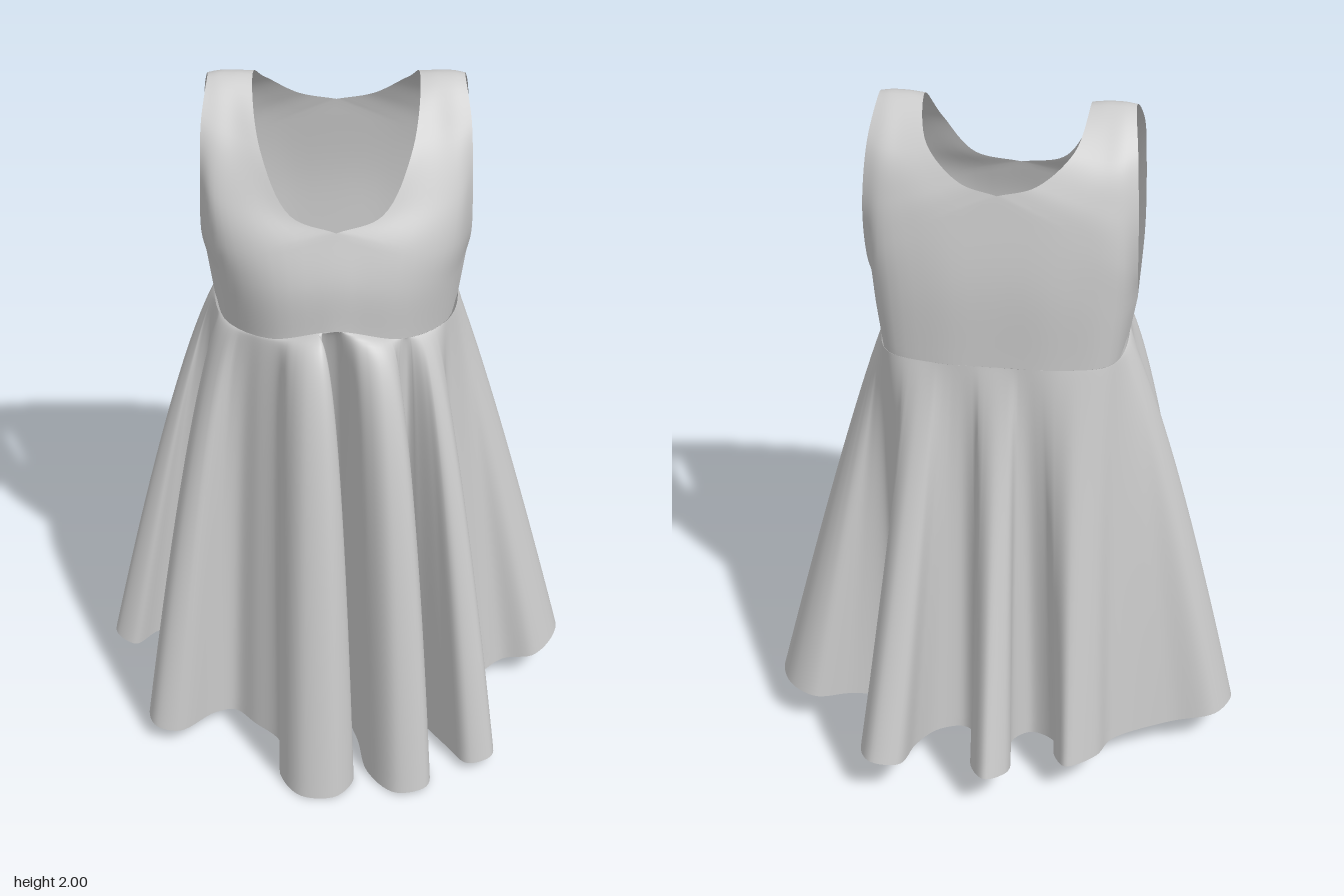
import * as THREE from 'three';

// Bodice guide lines for the +x half: each runs from the front waist over the shoulder to the back waist.
// The listed corners stay sharp.
const neckGuide = [[0, 1.41, .285], [0, 1.54, .28], [0, 1.68, .24], [.12, 1.715, .21], [.197, 1.86, .12], [.218, 1.995, -.04],
  [.19, 1.92, -.183], [.1, 1.845, -.24], [0, 1.82, -.255], [0, 1.58, -.285], [0, 1.33, -.285]];
const chestGuide = [[.17, 1.37, .255], [.18, 1.52, .262], [.2, 1.63, .24], [.24, 1.73, .182], [.26, 1.88, .09], [.26, 2, -.04],
  [.26, 1.9, -.188], [.23, 1.8, -.243], [.2, 1.72, -.264], [.17, 1.55, -.283], [.17, 1.33, -.28]];
const flankGuide = [[.29, 1.35, .14], [.295, 1.5, .175], [.31, 1.61, .18], [.32, 1.74, .15], [.31, 1.89, .08], [.305, 2, -.04],
  [.31, 1.9, -.18], [.315, 1.77, -.23], [.32, 1.64, -.245], [.315, 1.5, -.24], [.3, 1.33, -.235]];
const armGuide = [[.335, 1.33, -.05], [.355, 1.45, -.07], [.36, 1.6, .06], [.355, 1.77, .1], [.35, 1.91, .06], [.335, 1.995, -.04],
  [.35, 1.91, -.155], [.36, 1.75, -.2], [.36, 1.58, -.165], [.355, 1.45, -.07], [.335, 1.33, -.05]];
const guides = [neckGuide, chestGuide, flankGuide, armGuide];
const corners = [[2, 8], [], [], [1, 9]];

// Hem outline (x, z), running from the front towards +x and round the back
const hem = [
  // front folds
  [-.24, .25], [-.165, .32], [-.16, .46], [-.1, .54], [0, .54], [.05, .46], [-.03, .4], [-.04, .3], [-.12, .2], [-.06, .155], [.01, .19],
  [.06, .3], [.09, .44], [.17, .53], [.26, .51], [.26, .42], [.17, .35], [.15, .27], [.2, .2],
  [.25, .25], [.32, .35], [.38, .43], [.45, .41], [.45, .35], [.37, .28], [.32, .16],
  // left side fold
  [.4, .1], [.5, .02], [.6, .02], [.67, -.08], [.63, -.2], [.55, -.24], [.45, -.18], [.33, -.16],
  // back folds
  [.28, -.22], [.29, -.32], [.37, -.45], [.33, -.54], [.25, -.53], [.22, -.4], [.17, -.3], [.1, -.265],
  [.05, -.32], [.05, -.48], [0, -.555], [-.06, -.5], [-.05, -.32], [-.1, -.265],
  [-.17, -.31], [-.18, -.39], [-.22, -.455], [-.3, -.39], [-.34, -.29],
  // right side folds
  [-.5, -.2], [-.63, -.17], [-.67, -.06], [-.61, -.02], [-.54, -.09], [-.44, -.1],
  [-.43, -.03], [-.45, .09], [-.55, .23], [-.53, .3], [-.46, .31], [-.36, .22], [-.3, .2],
];

const vec = p => new THREE.Vector3(...p);
const curve = (points, closed = false) => new THREE.CatmullRomCurve3(points, closed);

// A guide line as smooth runs between its corners; s counts stations
function guideLine(points, sharp) {
  const ends = [0, ...sharp, points.length - 1];
  const runs = ends.slice(1).map((end, i) => ({ start: ends[i], end, path: curve(points.slice(ends[i], end + 1).map(vec)) }));
  return s => {
    const run = runs.find(r => s <= r.end);
    return run.path.getPoint((s - run.start) / (run.end - run.start));
  };
}

function makeMesh(name, positions, index) {
  const g = new THREE.BufferGeometry();
  g.setAttribute('position', new THREE.Float32BufferAttribute(positions, 3));
  g.setIndex(index);
  g.computeVertexNormals();
  const mesh = new THREE.Mesh(g, new THREE.MeshStandardMaterial({ color: 0xcccccc, side: THREE.DoubleSide }));
  mesh.name = name;
  return mesh;
}

// Two mirrored halves, sharing the vertices on the centre line
function makeBodice() {
  const perStation = 8, rows = perStation * (neckGuide.length - 1), cols = 14;
  const pos = [], idx = [], centre = new Map();
  const lines = guides.map((g, i) => guideLine(g, corners[i]));
  for (const side of [1, -1]) {
    const ids = [];
    for (let j = 0; j <= rows; j++) {
      const across = curve(lines.map(line => line(j / perStation)));
      for (let i = 0; i <= cols; i++) {
        const p = across.getPoint(i / cols);
        const onCentre = i === 0 && p.x < 1e-4;
        if (onCentre && centre.has(j)) {
          ids.push(centre.get(j));
          continue;
        }
        ids.push(pos.length / 3);
        if (onCentre) centre.set(j, pos.length / 3);
        pos.push(side * p.x, Math.min(p.y, 2), p.z);
      }
    }
    for (let j = 0; j < rows; j++) for (let i = 0; i < cols; i++) {
      const k = j * (cols + 1) + i;
      const [a, b, c, d] = [ids[k], ids[k + 1], ids[k + cols + 1], ids[k + cols + 2]];
      if (side > 0) idx.push(a, b, c, b, d, c);
      else idx.push(a, c, b, b, c, d);
    }
  }
  return makeMesh('bodice', pos, idx);
}

// The waist ring, taken from the lower ends of the bodice guides
function makeWaist() {
  const front = guides.map(g => vec(g[0]));
  const back = guides.slice(0, 3).reverse().map(g => vec(g[g.length - 1]));
  const half = [...front, ...back];
  const mirrored = half.slice(1, -1).reverse().map(p => new THREE.Vector3(-p.x, p.y, p.z));
  const ring = curve([...half, ...mirrored], true).getPoints(1440);
  const table = ring.map(p => [Math.atan2(p.x, p.z), p]);
  return angle => {
    const a = Math.atan2(Math.sin(angle), Math.cos(angle));
    return table.reduce((best, e) => (Math.abs(e[0] - a) < Math.abs(best[0] - a) ? e : best))[1];
  };
}

// Pleated skirt: blends from the smooth waist ring to the folded hem
function makeSkirt() {
  const n = 440, rows = 44, reach = 24, pos = [], idx = [];
  // the hem hangs lower in front and rises at the sides and back
  const hemHeight = (x, z) => 0.04 - 0.12 * z + 0.1 * z * z + 0.17 * x * x;
  const outline = curve(hem.map(([x, z]) => new THREE.Vector3(x, hemHeight(x, z), z)), true);
  const bottom = Array.from({ length: n }, (_, i) => outline.getPoint(i / n));

  // unwrapped hem angles, averaged so each fold gathers into the waist
  const angles = [];
  bottom.forEach((p, i) => {
    let a = Math.atan2(p.x, p.z);
    if (i) a += Math.round((angles[i - 1] - a) / (2 * Math.PI)) * 2 * Math.PI;
    angles.push(a);
  });
  const angleAt = i => angles[(i + n) % n] + Math.floor(i / n) * 2 * Math.PI;
  const waist = makeWaist();
  const top = bottom.map((_, i) => {
    let sum = 0;
    for (let k = -reach; k <= reach; k++) sum += angleAt(i + k);
    return waist(sum / (2 * reach + 1));
  });

  for (let j = 0; j <= rows; j++) {
    const t = Math.pow(j / rows, 1.7);
    for (let i = 0; i < n; i++) {
      const a = top[i], b = bottom[i];
      // front folds spring out high up, the sides flare evenly, the back falls straighter
      const r = Math.hypot(a.x, a.z), facing = a.z / r;
      const power = 0.82 + 0.07 * a.x / r + (facing > 0 ? -0.43 : 0.28) * facing * facing;
      const s = Math.pow(t, power);
      pos.push(a.x + (b.x - a.x) * s, a.y + (b.y - a.y) * t, a.z + (b.z - a.z) * s);
    }
  }
  for (let j = 0; j < rows; j++) for (let i = 0; i < n; i++) {
    const a = j * n + i, b = j * n + (i + 1) % n;
    idx.push(a, a + n, b, b, a + n, b + n);
  }
  return makeMesh('skirt', pos, idx);
}

export function createModel() {
  const dress = new THREE.Group();
  dress.name = 'dress';
  dress.add(makeBodice(), makeSkirt());
  return dress;
}
